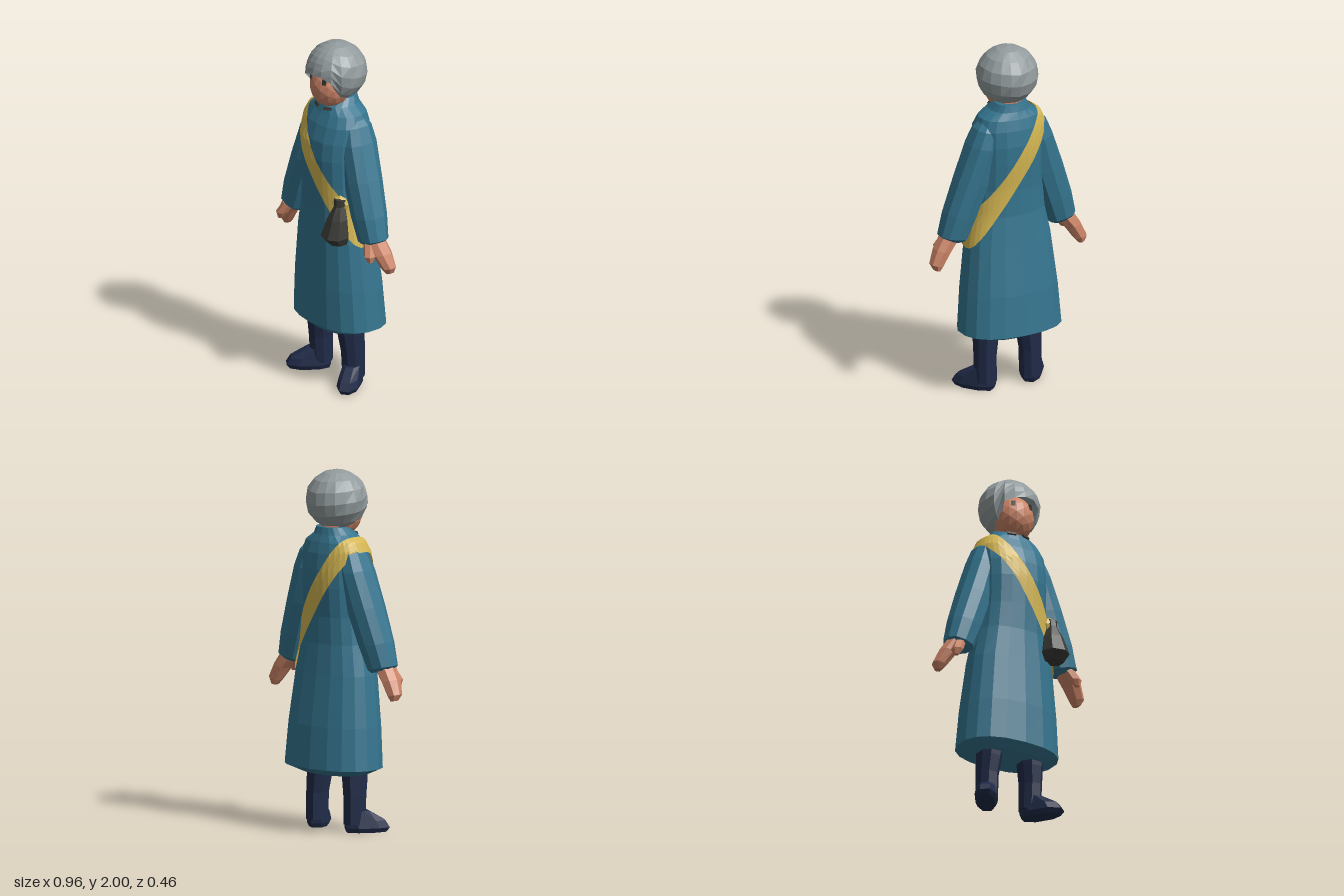
import * as THREE from 'three';

const mat = (name, color, side = THREE.FrontSide) => {
  const m = new THREE.MeshStandardMaterial({ color, side, flatShading: true });
  m.name = name;
  return m;
};

// Closed grid of faces: fn(row, column) gives a point, columns wrap around
function grid(rows, cols, fn) {
  const pos = [], idx = [];
  for (let j = 0; j < rows; j++) for (let i = 0; i < cols; i++) pos.push(...fn(j, i));
  for (let j = 0; j < rows - 1; j++) for (let i = 0; i < cols; i++) {
    const k = (i + 1) % cols, a = j * cols + i, b = a + cols, c = j * cols + k, d = c + cols;
    idx.push(a, b, c, c, b, d);
  }
  const g = new THREE.BufferGeometry();
  g.setAttribute('position', new THREE.Float32BufferAttribute(pos, 3));
  g.setIndex(idx);
  g.computeVertexNormals();
  return g;
}

// Point on a rounded horizontal section [y, xMin, xMax, zMin, zMax]
function onSection([y, x0, x1, z0, z1], a, scale = 1, tilt = 0) {
  const soft = v => Math.sign(v) * Math.abs(v) ** 0.85;
  const dx = soft(Math.cos(a)) * scale * (x1 - x0) / 2;
  const dz = soft(Math.sin(a)) * scale * (z1 - z0) / 2;
  return [(x0 + x1) / 2 + dx, y + tilt * dx, (z0 + z1) / 2 + dz];
}

// Stack of sections from bottom to top, capped at both ends
function loft(sections, sides, tilt = 0) {
  const n = sections.length;
  return grid(n + 2, sides, (j, i) => {
    const s = sections[Math.min(Math.max(j - 1, 0), n - 1)];
    return onSection(s, (i + 0.5) / sides * Math.PI * 2, j === 0 || j === n + 1 ? 0 : 1, tilt);
  });
}

const mirror = (sections, s) => s > 0 ? sections
  : sections.map(([y, x0, x1, z0, z1]) => [y, -x1, -x0, z0, z1]);

const ROBE = [
  [0.325, -0.2, 0.2, -0.15, 0.12], [0.365, -0.3, 0.3, -0.23, 0.165],
  [0.6, -0.282, 0.282, -0.212, 0.165], [0.88, -0.25, 0.25, -0.175, 0.155],
  [1.05, -0.215, 0.215, -0.155, 0.15], [1.2, -0.2, 0.2, -0.155, 0.158],
  [1.36, -0.2, 0.2, -0.168, 0.168], [1.46, -0.2, 0.2, -0.17, 0.16],
  [1.55, -0.2, 0.2, -0.16, 0.13], [1.61, -0.175, 0.175, -0.145, 0.1],
  [1.65, -0.115, 0.115, -0.13, 0.085], [1.69, -0.09, 0.09, -0.12, 0.03]];

// Robe section interpolated at any height
function robeAt(y) {
  let k = 0;
  while (k < ROBE.length - 2 && ROBE[k + 1][0] < y) k++;
  const a = ROBE[k], b = ROBE[k + 1], t = (y - a[0]) / (b[0] - a[0]);
  return a.map((v, i) => v + (b[i] - v) * t);
}

export function createModel() {
  const root = new THREE.Group();
  root.name = 'robedFigure';
  const teal = mat('robeTeal', 0x35758f);
  const yellow = mat('sashYellow', 0xd4b652, THREE.DoubleSide);
  const grey = mat('hairGrey', 0x929b9d, THREE.DoubleSide);
  const skin = mat('skin', 0xcc8568);
  const navy = mat('bootNavy', 0x202b48);
  const dark = mat('bagCharcoal', 0x3a3a36);
  const add = (name, geo, material, parent = root) => {
    const m = new THREE.Mesh(geo, material);
    m.name = name;
    parent.add(m);
    return m;
  };

  add('robe', loft(ROBE, 18), teal);

  // Sash: slanted slice of the robe surface, pushed slightly outward
  const SIDES = 36, BANDS = 7;
  add('sash', grid(BANDS, SIDES, (j, i) => {
    const a = i / SIDES * Math.PI * 2;
    const level = 1.335 + (j / (BANDS - 1) - 0.5) * 0.17;
    let lo = 0.8, hi = 1.69;
    for (let n = 0; n < 30; n++) {
      const mid = (lo + hi) / 2;
      if (mid + 1.55 * onSection(robeAt(mid), a)[0] < level) lo = mid; else hi = mid;
    }
    const p = onSection(robeAt(lo), a, 1.045);
    if (lo > 1.54) p[1] += 0.006;
    return p;
  }), yellow);

  // Pouch hanging at the left hip
  add('pouch', loft([
    [0.905, 0.14, 0.25, 0.09, 0.19], [0.95, 0.115, 0.272, 0.08, 0.23],
    [1.05, 0.135, 0.25, 0.085, 0.19], [1.12, 0.165, 0.22, 0.09, 0.155],
    [1.16, 0.16, 0.225, 0.09, 0.15]], 7), dark);
  const loop = add('pouchLoop', new THREE.TorusGeometry(0.035, 0.014, 4, 8), yellow);
  loop.position.set(0.19, 1.13, 0.115);
  loop.rotation.y = 0.5;

  for (const s of [1, -1]) {
    const side = s > 0 ? 'left' : 'right';
    add(side + 'Sleeve', loft(mirror([
      [0.915, 0.275, 0.395, -0.055, 0.06], [0.935, 0.252, 0.418, -0.075, 0.08],
      [1.06, 0.2, 0.388, -0.095, 0.09], [1.25, 0.13, 0.325, -0.115, 0.09],
      [1.45, 0.08, 0.252, -0.13, 0.08], [1.54, 0.06, 0.213, -0.12, 0.06],
      [1.59, 0.06, 0.17, -0.09, 0.03]], s), 10, 0.22 * s), teal);

    add(side + 'Hand', loft(mirror([
      [0.765, 0.432, 0.465, -0.05, 0.0], [0.795, 0.41, 0.484, -0.06, 0.02],
      [0.87, 0.36, 0.45, -0.062, 0.05], [0.93, 0.31, 0.41, -0.055, 0.06],
      [0.96, 0.3, 0.38, -0.045, 0.05]], s), 7, 0.25 * s), skin);
    add(side + 'Thumb', loft(mirror([
      [0.835, 0.375, 0.405, 0.055, 0.085], [0.87, 0.35, 0.415, 0.03, 0.1],
      [0.93, 0.32, 0.385, 0.01, 0.075]], s), 6), skin);

    add(side + 'Leg', loft(mirror([
      [0.05, 0.08, 0.2, -0.08, 0.045], [0.2, 0.08, 0.2, -0.08, 0.055],
      [0.3, 0.065, 0.2, -0.08, 0.07], [0.42, 0.045, 0.2, -0.08, 0.08]], s), 8), navy);
    const foot = add(side + 'Boot', loft([
      [0.005, -0.052, 0.052, -0.05, 0.18], [0.03, -0.064, 0.064, -0.06, 0.2],
      [0.07, -0.058, 0.058, -0.06, 0.175], [0.125, -0.05, 0.05, -0.06, 0.08]], 8), navy);
    foot.position.set(0.14 * s, 0, -0.015);
    foot.rotation.y = 0.62 * s;

    // Eyes and collar clasps
    const eye = add(side + 'Eye', new THREE.BoxGeometry(0.024, 0.03, 0.009), dark);
    eye.position.set(0.055 * s, 1.81, 0.122);
    eye.rotation.y = 0.45 * s;
    const clasp = add(side + 'CollarClasp', new THREE.BoxGeometry(0.05, 0.016, 0.009), dark);
    clasp.position.set(0.045 * s, 1.642, 0.092);
    clasp.rotation.set(-0.5, 0.3 * s, 0.25 * s);
  }

  // Head
  const face = new THREE.IcosahedronGeometry(1, 2);
  face.scale(0.116, 0.13, 0.117);
  add('face', face, skin).position.set(0, 1.76, 0.03);
  add('neck', new THREE.CylinderGeometry(0.07, 0.08, 0.12, 8), skin).position.set(0, 1.67, -0.03);

  // Hair: faceted cap with a fringe opening over the face
  const edge = [[0, 86], [20, 88], [40, 97], [60, 142], [80, 152], [180, 170]];
  add('hair', grid(8, 18, (j, i) => {
    const deg = i * 20 > 180 ? i * 20 - 360 : i * 20, d = Math.abs(deg);
    const k = Math.max(1, edge.findIndex(e => e[0] >= d));
    const [d0, t0] = edge[k - 1], [d1, t1] = edge[k];
    const end = t0 + (t1 - t0) * (d - d0) / (d1 - d0) - (d < 50 ? Math.sign(deg) * 2 : 0);
    const th = end * j / 7 * Math.PI / 180, az = deg * Math.PI / 180;
    const r = 1 + 0.018 * Math.sin(i * 2.4 + j * 1.9) * Math.sin(th);
    return [0.174 * r * Math.sin(th) * Math.sin(az), 1.835 + 0.165 * Math.cos(th),
      -0.01 + 0.17 * r * Math.sin(th) * Math.cos(az)];
  }), grey);

  return root;
}
